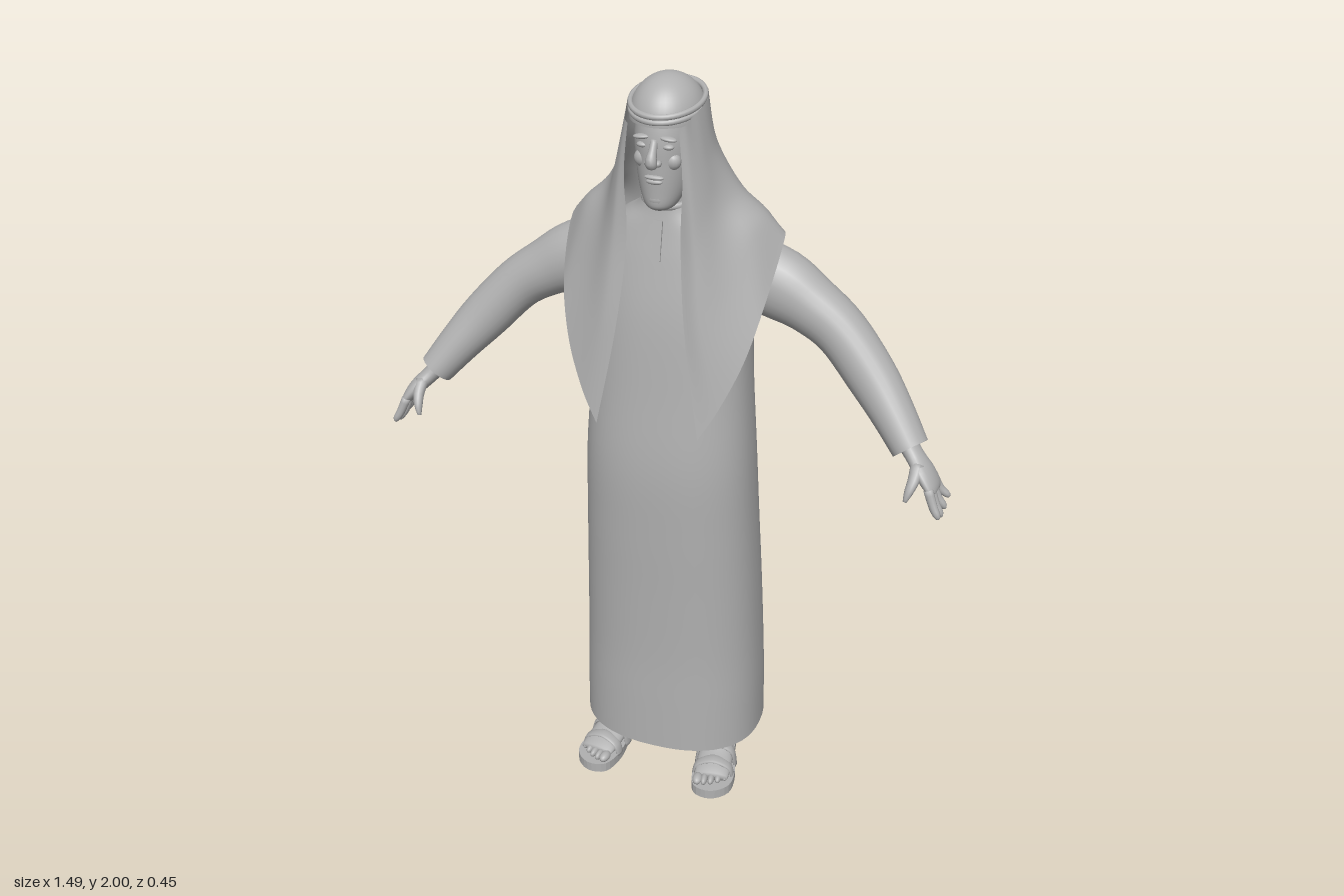
import * as THREE from 'three';
import { mergeVertices } from 'three/addons/utils/BufferGeometryUtils.js';

const clothGrey = new THREE.MeshStandardMaterial({ color: 0xb0b0b0, side: THREE.DoubleSide });
clothGrey.name = 'plainGrey';

// Smooth value through a list of number tuples, t in 0..1
function spline(keys, t) {
  const n = keys.length - 1, i = Math.min(Math.floor(t * n), n - 1), f = t * n - i;
  const [p, q, r, s] = [i - 1, i, i + 1, i + 2].map(k => keys[Math.max(0, Math.min(n, k))]);
  return q.map((_, k) => 0.5 * (2 * q[k] + (r[k] - p[k]) * f
    + (2 * p[k] - 5 * q[k] + 4 * r[k] - s[k]) * f * f
    + (3 * q[k] - p[k] - 3 * r[k] + s[k]) * f * f * f));
}

// Smooth surface from a point rule over u, v
function surface(fn, nu, nv) {
  const pos = [], idx = [];
  for (let j = 0; j <= nv; j++) for (let i = 0; i <= nu; i++) {
    pos.push(...fn(i / nu, j / nv));
    if (i < nu && j < nv) {
      const a = j * (nu + 1) + i, b = a + nu + 1;
      idx.push(a, a + 1, b, a + 1, b + 1, b);
    }
  }
  let g = new THREE.BufferGeometry();
  g.setAttribute('position', new THREE.Float32BufferAttribute(pos, 3));
  g.setIndex(idx);
  g = mergeVertices(g, 1e-5);
  g.computeVertexNormals();
  return g;
}

// Rings along keys [x, y, z, radius along ref, other radius]
function sweep(keys, ref, { nu = 24, nv = 20, power = 2, axis = null, cap = true } = {}) {
  const e = 2 / power, bend = v => Math.sign(v) * Math.abs(v) ** e;
  return surface((u, v) => {
    const t = cap ? Math.min(1, Math.max(0, (v * nv - 1) / (nv - 2))) : v;
    const k = spline(keys, t);
    const p0 = spline(keys, Math.max(0, t - 0.01)), p1 = spline(keys, Math.min(1, t + 0.01));
    const T = axis ? axis.clone() : new THREE.Vector3(p1[0] - p0[0], p1[1] - p0[1], p1[2] - p0[2]).normalize();
    const A = ref.clone().addScaledVector(T, -ref.dot(T)).normalize();
    const B = T.clone().cross(A);
    const s = cap && (v === 0 || v === 1) ? 0 : 1, w = (u === 1 ? 0 : u) * Math.PI * 2;
    return new THREE.Vector3(k[0], k[1], k[2])
      .addScaledVector(A, s * k[3] * bend(Math.cos(w)))
      .addScaledVector(B, s * k[4] * bend(Math.sin(w))).toArray();
  }, nu, nv);
}

const X = new THREE.Vector3(1, 0, 0), Y = new THREE.Vector3(0, 1, 0), Z = new THREE.Vector3(0, 0, 1);

function add(parent, name, geometry) {
  const m = new THREE.Mesh(geometry, clothGrey);
  m.name = name;
  parent.add(m);
  return m;
}

function blob(parent, name, pos, size, tilt = 0) {
  const m = add(parent, name, new THREE.SphereGeometry(1, 16, 10));
  m.position.set(...pos);
  m.scale.set(...size);
  m.rotation.z = tilt;
  return m;
}

function makeArm() {
  const arm = new THREE.Group();
  // Sleeve with an open cuff
  add(arm, 'sleeve', sweep([
    [0.12, 1.53, -0.02, 0.07, 0.09], [0.26, 1.48, -0.025, 0.077, 0.092], [0.35, 1.435, -0.02, 0.07, 0.075],
    [0.43, 1.38, -0.01, 0.065, 0.067], [0.515, 1.29, 0.018, 0.06, 0.064], [0.58, 1.215, 0.05, 0.055, 0.055],
    [0.637, 1.143, 0.083, 0.05, 0.046]], Z, { nv: 28, cap: false }));
  add(arm, 'palm', sweep([
    [0.61, 1.175, 0.07, 0.03, 0.025], [0.65, 1.13, 0.09, 0.031, 0.022], [0.68, 1.1, 0.107, 0.042, 0.021],
    [0.702, 1.072, 0.114, 0.046, 0.017], [0.71, 1.058, 0.116, 0.043, 0.011]], Z));
  for (let i = 0; i < 4; i++) {
    const z = 0.15 - i * 0.023, len = [0.062, 0.072, 0.066, 0.05][i], out = 0.012 - i * 0.007;
    add(arm, 'finger', sweep([
      [0.7, 1.075, z, 0.011, 0.012], [0.716, 1.07 - len * 0.55, z + out * 0.6, 0.0105, 0.011],
      [0.728 + i * 0.002, 1.068 - len * 0.85, z + out, 0.009, 0.009],
      [0.732 + i * 0.002, 1.068 - len, z + out, 0.004, 0.004]], Z, { nu: 10, nv: 10 }));
  }
  add(arm, 'thumb', sweep([
    [0.665, 1.12, 0.12, 0.018, 0.015], [0.663, 1.095, 0.148, 0.015, 0.014], [0.656, 1.07, 0.168, 0.011, 0.011],
    [0.65, 1.047, 0.177, 0.005, 0.005]], X, { nu: 10, nv: 10 }));
  return arm;
}

function makeFoot() {
  const foot = new THREE.Group();
  // Sandal sole
  const outline = new THREE.Shape();
  outline.setFromPoints(new THREE.SplineCurve([
    [0, -0.09], [0.036, -0.07], [0.042, -0.01], [0.046, 0.06], [0.06, 0.13], [0.052, 0.195], [0.005, 0.228],
    [-0.046, 0.21], [-0.057, 0.14], [-0.042, 0.06], [-0.04, -0.01], [-0.036, -0.07], [0, -0.09],
  ].map(p => new THREE.Vector2(...p))).getPoints(48).slice(0, -1));
  const sole = new THREE.ExtrudeGeometry(outline, { depth: 0.028, bevelEnabled: false });
  add(foot, 'sandalSole', sole.rotateX(Math.PI / 2).translate(0, 0.028, 0));
  add(foot, 'foot', sweep([
    [0, 0.06, -0.085, 0.015, 0.022], [0, 0.064, -0.068, 0.035, 0.037], [0, 0.07, -0.02, 0.04, 0.047],
    [0, 0.065, 0.04, 0.043, 0.041], [0, 0.052, 0.1, 0.049, 0.027], [0, 0.044, 0.16, 0.049, 0.018],
    [0, 0.04, 0.185, 0.046, 0.011]], X));
  add(foot, 'ankle', sweep([
    [0, 0.05, -0.03, 0.038, 0.045], [0, 0.11, -0.032, 0.041, 0.046], [0, 0.25, -0.035, 0.055, 0.058],
    [-0.02, 0.5, -0.03, 0.065, 0.065]], X, { axis: Y }));
  for (let i = 0; i < 5; i++) {
    blob(foot, 'toe', [-0.036 + i * 0.0185, 0.041 - i * 0.001, 0.197 - i * i * 0.002],
      [i ? 0.0095 : 0.014, 0.013 - i * 0.0005, 0.022]);
  }
  // Straps over the foot
  for (const [z, h] of [[0.145, 0.069], [0.095, 0.086]]) {
    add(foot, 'sandalStrap', sweep([
      [-0.055, 0.02, z, 0.016, 0.005], [-0.044, h - 0.016, z, 0.016, 0.005], [0, h, z - 0.004, 0.018, 0.005],
      [0.044, h - 0.016, z, 0.016, 0.005], [0.055, 0.02, z, 0.016, 0.005]], Z, { nu: 12 }));
  }
  foot.position.set(0.145, 0, 0);
  foot.rotation.y = 0.15;
  return foot;
}

function makeHead() {
  const head = new THREE.Group();
  add(head, 'face', sweep([
    [0, 1.69, 0.088, 0.026, 0.036], [0, 1.703, 0.087, 0.04, 0.052], [0, 1.74, 0.073, 0.056, 0.069],
    [0, 1.8, 0.06, 0.068, 0.084], [0, 1.87, 0.05, 0.074, 0.093], [0, 1.95, 0.045, 0.06, 0.08]],
  X, { axis: Y, nu: 36, nv: 28 }));
  add(head, 'neck', new THREE.CylinderGeometry(0.05, 0.058, 0.16, 24).translate(0, 1.7, 0.035));
  add(head, 'nose', sweep([
    [0, 1.868, 0.138, 0.009, 0.008], [0, 1.845, 0.15, 0.01, 0.011], [0, 1.823, 0.163, 0.014, 0.014],
    [0, 1.81, 0.156, 0.013, 0.01]], X, { nu: 14, nv: 12 }));
  blob(head, 'lipUpper', [0, 1.779, 0.142], [0.025, 0.006, 0.009]);
  blob(head, 'lipLower', [0, 1.768, 0.14], [0.021, 0.007, 0.009]);
  blob(head, 'chin', [0, 1.722, 0.126], [0.025, 0.02, 0.016]);
  for (const s of [-1, 1]) {
    blob(head, 'nostril', [s * 0.013, 1.816, 0.149], [0.008, 0.008, 0.011]);
    blob(head, 'eye', [s * 0.031, 1.853, 0.132], [0.015, 0.007, 0.011]);
    blob(head, 'brow', [s * 0.032, 1.873, 0.134], [0.022, 0.006, 0.012], -s * 0.1);
    blob(head, 'cheek', [s * 0.036, 1.815, 0.117], [0.022, 0.022, 0.018]);
  }
  return head;
}

function makeHeadcloth() {
  const cloth = new THREE.Group();
  // Half the drape: columns from centre back to the inner front edge, each from crown to hem
  const half = [
    [[0, 1.95, -0.06], [0, 1.84, -0.09], [0, 1.7, -0.125], [0, 1.55, -0.154], [0, 1.355, -0.16]],
    [[0.05, 1.95, -0.045], [0.06, 1.84, -0.07], [0.1, 1.7, -0.105], [0.12, 1.58, -0.142], [0.12, 1.45, -0.153]],
    [[0.085, 1.945, 0], [0.1, 1.83, -0.02], [0.15, 1.71, -0.06], [0.2, 1.63, -0.1], [0.22, 1.53, -0.118]],
    [[0.092, 1.94, 0.04], [0.115, 1.82, 0.03], [0.165, 1.72, 0], [0.23, 1.655, -0.02], [0.272, 1.605, -0.035]],
    [[0.088, 1.93, 0.08], [0.115, 1.8, 0.08], [0.15, 1.7, 0.07], [0.215, 1.62, 0.06], [0.262, 1.48, 0.08]],
    [[0.08, 1.92, 0.11], [0.108, 1.78, 0.115], [0.13, 1.65, 0.125], [0.17, 1.48, 0.14], [0.23, 1.34, 0.145]],
    [[0.074, 1.91, 0.133], [0.092, 1.77, 0.142], [0.105, 1.6, 0.155], [0.13, 1.4, 0.178], [0.18, 1.22, 0.188]],
    [[0.062, 1.905, 0.147], [0.072, 1.78, 0.15], [0.068, 1.62, 0.15], [0.088, 1.4, 0.178], [0.133, 1.137, 0.21]],
  ];
  const mirrored = half.slice(1).reverse().map(c => c.map(([x, y, z]) => [-x, y, z]));
  const columns = [...mirrored, ...half];
  add(cloth, 'headclothDrape', surface((u, v) => spline(columns.map(c => spline(c, v)), u), 84, 32));
  // Crown and the doubled cord round it
  const crown = new THREE.SphereGeometry(1, 40, 16, 0, Math.PI * 2, 0, Math.PI / 2);
  add(cloth, 'headclothCrown', crown.scale(0.09, 0.1, 0.107).translate(0, 1.9, 0.042));
  for (const y of [1.929, 1.942]) {
    const cord = new THREE.TorusGeometry(1, 0.08, 8, 48).rotateX(Math.PI / 2).scale(0.086, 0.09, 0.102);
    add(cloth, 'headCord', cord.rotateX(0.17).translate(0, y, 0.044));
  }
  return cloth;
}

export function createModel() {
  const model = new THREE.Group();
  model.name = 'robedFigure';
  // Long robe, open at the hem
  const robe = [
    [0.105, 0.252, 0.18, -0.222], [0.25, 0.25, 0.178, -0.218], [0.4, 0.245, 0.176, -0.21],
    [0.6, 0.238, 0.18, -0.193], [0.8, 0.23, 0.186, -0.173], [1.0, 0.222, 0.188, -0.155],
    [1.2, 0.209, 0.17, -0.146], [1.4, 0.2, 0.15, -0.142], [1.54, 0.19, 0.125, -0.13],
    [1.62, 0.15, 0.108, -0.1], [1.67, 0.085, 0.098, -0.05], [1.7, 0.062, 0.094, -0.025],
  ].map(([y, w, f, b]) => [0, y, (f + b) / 2, w, (f - b) / 2]);
  add(model, 'robe', sweep(robe, X, { axis: Y, nu: 56, nv: 55, power: 2.35, cap: false }));
  const collar = new THREE.TorusGeometry(1, 0.12, 8, 36).rotateX(Math.PI / 2).scale(0.061, 0.08, 0.059);
  add(model, 'collar', collar.rotateX(0.1).translate(0, 1.695, 0.036));
  const placket = add(model, 'placket', new THREE.BoxGeometry(0.022, 0.1, 0.008));
  placket.position.set(-0.004, 1.608, 0.112);
  placket.rotation.x = -0.2;

  const head = makeHead();
  head.name = 'head';
  const cloth = makeHeadcloth();
  cloth.name = 'headcloth';
  model.add(head, cloth);

  for (const [side, s] of [['left', 1], ['right', -1]]) {
    const limbs = new THREE.Group();
    limbs.name = side + 'Limbs';
    const arm = makeArm(), foot = makeFoot();
    arm.name = side + 'Arm';
    foot.name = side + 'Foot';
    limbs.add(arm, foot);
    limbs.scale.x = s;
    model.add(limbs);
  }
  return model;
}
